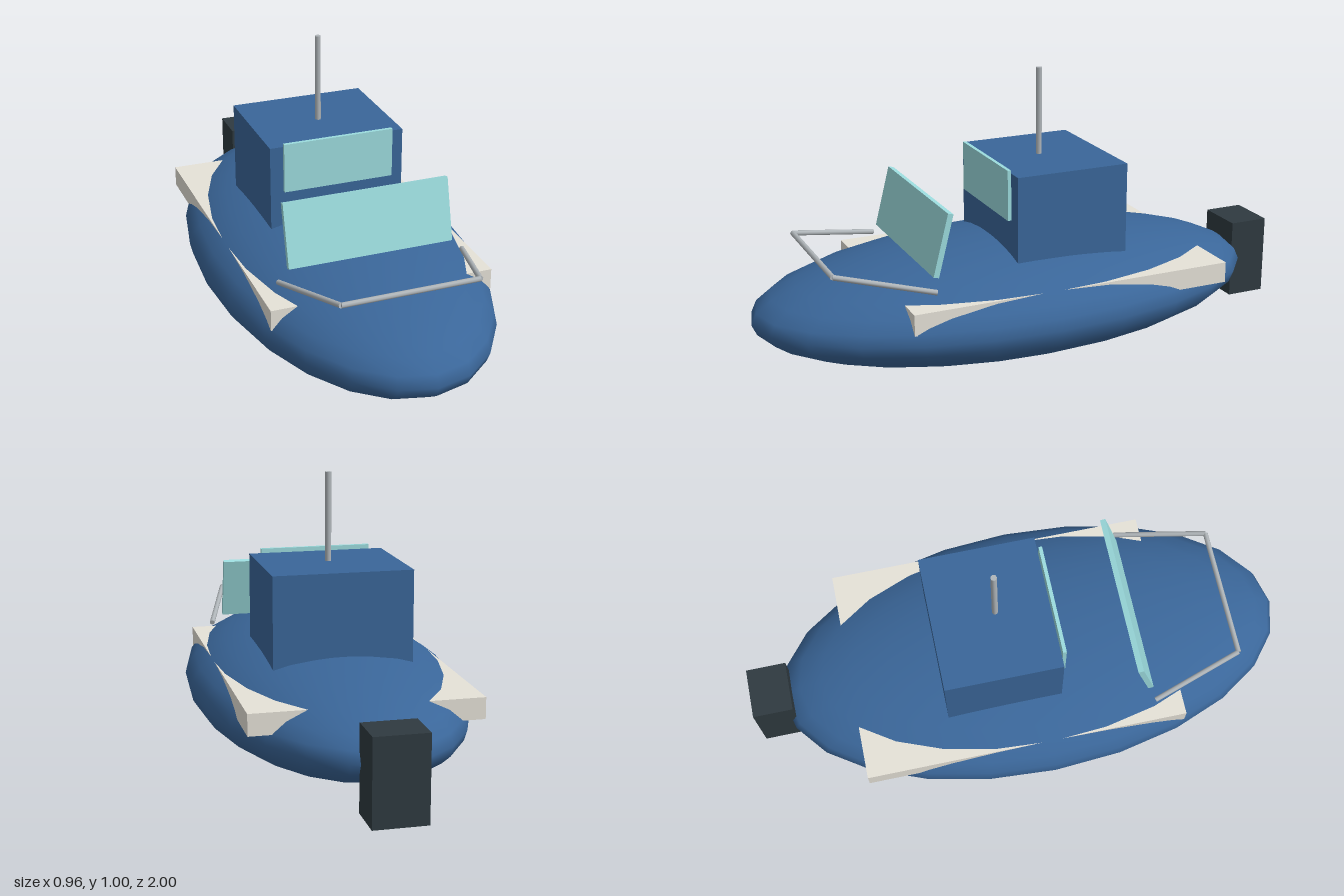
import * as THREE from 'three';

const paint = (color) => new THREE.MeshStandardMaterial({ color });
const BLUE = paint(0x3a6699);
const CREAM = paint(0xe6e2d8);
const GLASS = paint(0x9cdcde);
const METAL = paint(0xb0b6ba);
const DARK = paint(0x2f3a40);

export function createModel() {
  const model = new THREE.Group();
  model.name = 'motorBoat';

  const add = (name, geometry, material, x, y, z) => {
    const mesh = new THREE.Mesh(geometry, material);
    mesh.name = name;
    mesh.position.set(x, y, z);
    model.add(mesh);
    return mesh;
  };
  const box = (name, material, [w, h, d], [x, y, z]) =>
    add(name, new THREE.BoxGeometry(w, h, d), material, x, y, z);

  // Round bar between two points
  const bar = (name, from, to, radius) => {
    const a = new THREE.Vector3(...from);
    const b = new THREE.Vector3(...to);
    const mid = a.clone().lerp(b, 0.5);
    const geometry = new THREE.CylinderGeometry(radius, radius, a.distanceTo(b), 8);
    const mesh = add(name, geometry, METAL, mid.x, mid.y, mid.z);
    mesh.quaternion.setFromUnitVectors(new THREE.Vector3(0, 1, 0), b.sub(a).normalize());
    return mesh;
  };

  // Stretched round hull
  const hull = new THREE.SphereGeometry(1, 24, 16);
  hull.scale(0.48, 0.202, 0.948);
  add('hull', hull, BLUE, 0, 0.205, 0.052);

  // Deck slab whose corners show past the hull
  box('deck', CREAM, [0.795, 0.075, 1.185], [0, 0.279, -0.0375]);

  // Cabin with its front window
  box('cabin', BLUE, [0.494, 0.385, 0.42], [0, 0.4925, -0.092]);
  box('cabinWindow', GLASS, [0.403, 0.18, 0.013], [0, 0.61, 0.1295]);

  // Windshield, leaning back
  box('windshield', GLASS, [0.594, 0.224, 0.02], [0, 0.501, 0.411]).rotation.x = -0.25;

  // Mast on the cabin roof
  bar('mast', [0, 0.5, -0.075], [0, 1, -0.075], 0.011);

  // Bow rail
  const corner = [0.24, 0.428, 0.777];
  const foot = [0.335, 0.356, 0.45];
  const mirror = ([x, y, z], side) => [x * side, y, z];
  bar('railFront', mirror(corner, -1), corner, 0.0095);
  for (const side of [-1, 1]) {
    bar(side > 0 ? 'railLeft' : 'railRight', mirror(foot, side), mirror(corner, side), 0.0095);
  }

  // Outboard motor
  box('motor', DARK, [0.183, 0.293, 0.146], [0, 0.189, -0.927]);

  return model;
}
